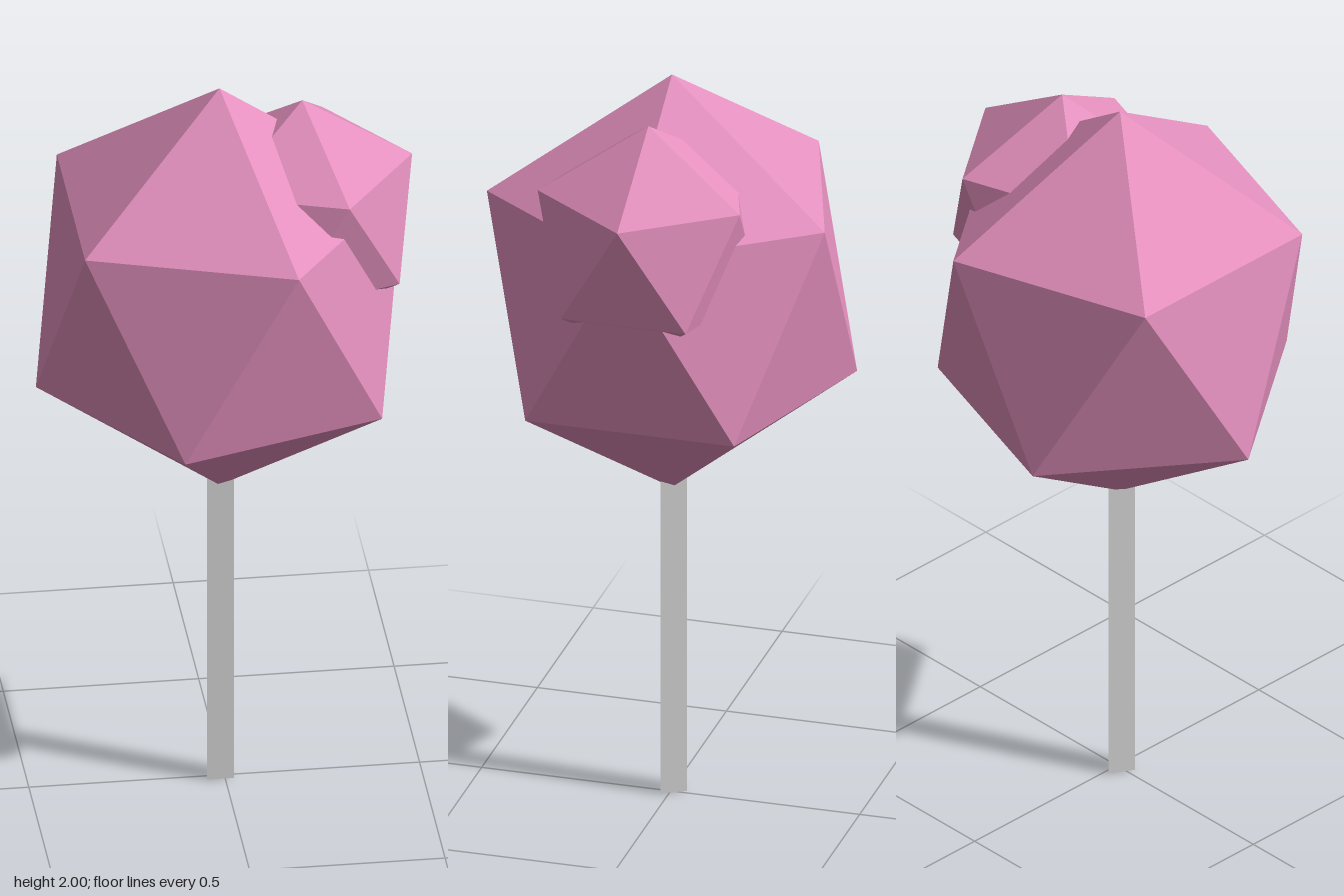
import * as THREE from 'three';

// Icosahedron standing on a vertex: two staggered five-point rings between two tips
function crystalGeometry(radius, halfHeight) {
  const ringY = halfHeight * 0.447;
  const point = (step, y) => {
    const a = (step * Math.PI * 2) / 5;
    return [radius * Math.cos(a), y, -radius * Math.sin(a)];
  };
  const top = [0, halfHeight, 0];
  const bottom = [0, -halfHeight, 0];
  const positions = [];
  for (let i = 0; i < 5; i++) {
    const u0 = point(i, ringY), u1 = point(i + 1, ringY);
    const l0 = point(i + 0.5, -ringY), l1 = point(i + 1.5, -ringY);
    positions.push(
      ...top, ...u0, ...u1,
      ...u0, ...l0, ...u1,
      ...l0, ...l1, ...u1,
      ...bottom, ...l1, ...l0
    );
  }
  const geometry = new THREE.BufferGeometry();
  geometry.setAttribute('position', new THREE.Float32BufferAttribute(positions, 3));
  geometry.computeVertexNormals();
  return geometry;
}

export function createModel() {
  const group = new THREE.Group();
  group.name = 'lowPolyTree';

  const pink = new THREE.MeshStandardMaterial({ color: 0xe490be, flatShading: true });
  pink.name = 'pinkFoliage';
  const pale = new THREE.MeshStandardMaterial({ color: 0xe2e2e2, flatShading: true });
  pale.name = 'paleTrunk';

  const add = (name, geometry, material, x, y) => {
    const mesh = new THREE.Mesh(geometry, material);
    mesh.name = name;
    mesh.position.set(x, y, 0);
    group.add(mesh);
    return mesh;
  };

  // Three-sided trunk, flat side to the front, its top buried in the crown
  const trunk = add('trunk', new THREE.CylinderGeometry(0.04, 0.04, 0.95, 3), pale, -0.012, 0.475);
  trunk.rotation.y = Math.PI;

  // Main crown and the smaller clump growing from its upper side
  add('mainCrown', crystalGeometry(0.47, 0.5775), pink, -0.012, 1.4225);
  add('sideClump', crystalGeometry(0.281, 0.3175), pink, 0.2, 1.6325);

  return group;
}
